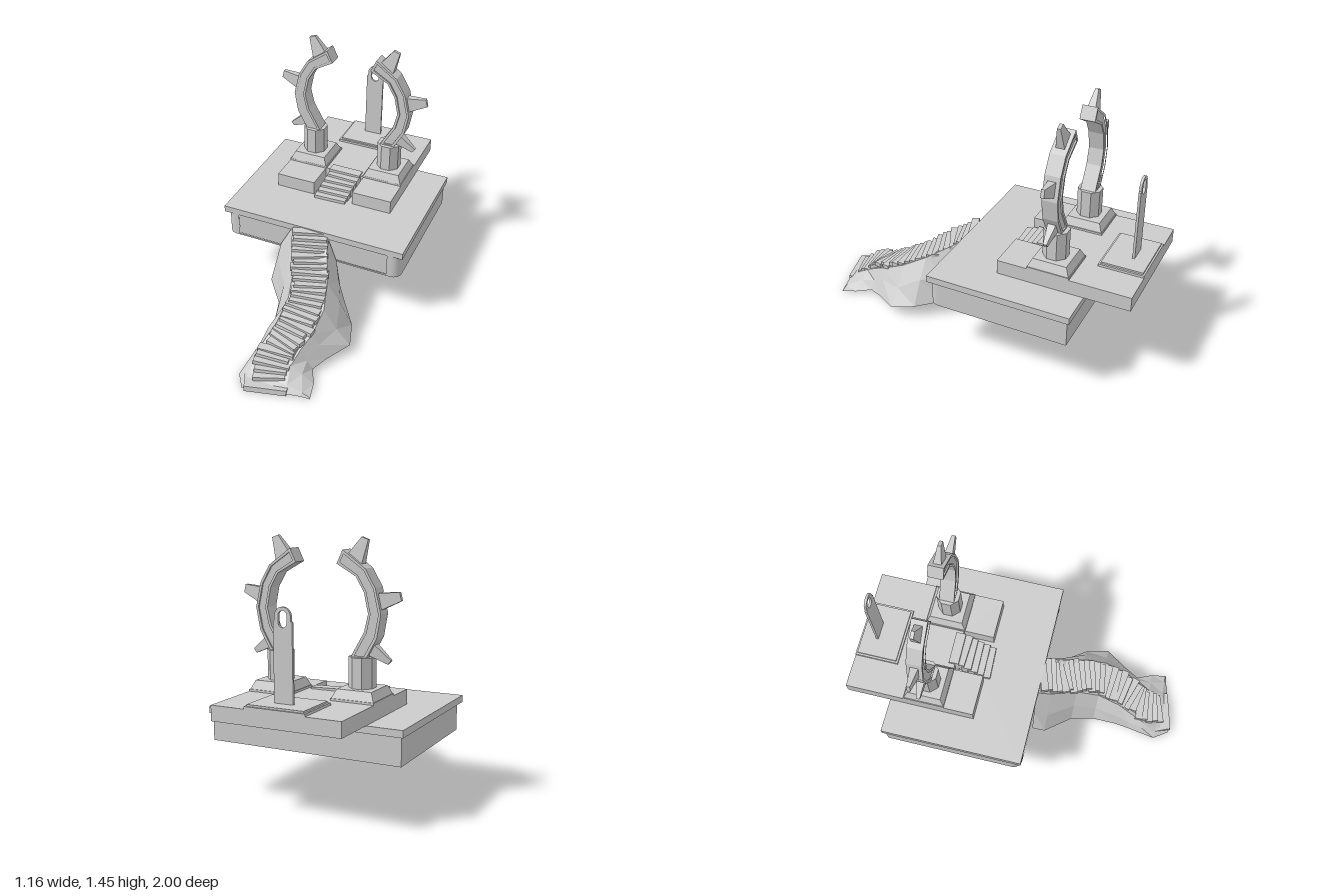
import * as THREE from 'three';
import { ConvexGeometry } from 'three/addons/geometries/ConvexGeometry.js';

const solid = new THREE.MeshStandardMaterial({ color: 0xcccccc, flatShading: true });
const shell = new THREE.MeshStandardMaterial({ color: 0xcccccc, flatShading: true, side: THREE.DoubleSide });
const V = (x, y, z) => new THREE.Vector3(x, y, z);

function add(parent, name, geometry, material = solid) {
  const mesh = new THREE.Mesh(geometry, material);
  mesh.name = name;
  parent.add(mesh);
  return mesh;
}

function box(parent, name, x0, x1, y0, y1, z0, z1) {
  const m = add(parent, name, new THREE.BoxGeometry(x1 - x0, y1 - y0, z1 - z0));
  m.position.set((x0 + x1) / 2, (y0 + y1) / 2, (z0 + z1) / 2);
  return m;
}

const shapeOf = (pts) => new THREE.Shape(pts.map(([x, y]) => new THREE.Vector2(x, y)));
const pathOf = (pts) => new THREE.Path(pts.map(([x, y]) => new THREE.Vector2(x, y)));
const rect = (x0, x1, y0, y1) => [[x0, y0], [x1, y0], [x1, y1], [x0, y1]];

// Surface through rows of points, with equal counts per row
function loft(rows) {
  const n = rows[0].length, index = [];
  for (let i = 0; i < rows.length - 1; i++) {
    for (let j = 0; j < n - 1; j++) {
      const a = i * n + j, b = a + n;
      index.push(a, b, a + 1, a + 1, b, b + 1);
    }
  }
  const g = new THREE.BufferGeometry();
  g.setAttribute('position', new THREE.Float32BufferAttribute(rows.flat(2), 3));
  g.setIndex(index);
  const flat = g.toNonIndexed();
  flat.computeVertexNormals();
  return flat;
}

// Upright wall along a plan outline of [x, z] points, counter-clockwise from above
const wall = (pts, y0, y1) => loft([pts.map(([x, z]) => [x, y1, z]), pts.map(([x, z]) => [x, y0, z])]);

// Flat horizontal cover for a plan outline
const cover = (pts, y) =>
  new THREE.ShapeGeometry(shapeOf(pts.map(([x, z]) => [x, -z]))).rotateX(-Math.PI / 2).translate(0, y, 0);

// Four-sided taper between two rectangles
function taper(parent, name, cx, cz, h0, h1, y0, y1) {
  const pts = [];
  for (const [h, y] of [[h0, y0], [h1, y1]])
    for (const sx of [-1, 1]) for (const sz of [-1, 1]) pts.push(V(cx + sx * h, y, cz + sz * h));
  return add(parent, name, new ConvexGeometry(pts));
}

let seed = 7;
const jitter = (a) => {
  seed = (seed * 16807) % 2147483647;
  return (seed / 2147483647 - 0.5) * 2 * a;
};

function buildBase(root) {
  const g = new THREE.Group();
  g.name = 'base';
  root.add(g);

  // Hollow skirt: square at the back, rounded at the front corners
  const side = [];
  for (let i = 0; i <= 8; i++) {
    const a = (i / 8) * Math.PI / 2;
    side.push([0.51 + 0.055 * Math.sin(a), 0.065 + 0.055 * Math.cos(a)]);
  }
  const outline = [...side, [0.565, -0.72], [-0.565, -0.72], ...side.map(([x, z]) => [-x, z]).reverse()];
  add(g, 'skirt', wall(outline, 0.32, 0.475), shell);

  // Front frame around a recessed panel
  const front = shapeOf(rect(-0.51, 0.51, 0.32, 0.475));
  front.holes.push(pathOf(rect(-0.485, 0.485, 0.332, 0.47)));
  add(g, 'frontFrame', new THREE.ShapeGeometry(front).translate(0, 0, 0.12), shell);
  box(g, 'frontPanel', -0.49, 0.49, 0.325, 0.475, 0.09, 0.11);

  // Deck with a projecting rim, hollow below
  const inner = rect(-0.55, 0.55, -0.705, 0.09);
  const rim = shapeOf(rect(-0.58, 0.58, -0.125, 0.735));
  rim.holes.push(pathOf(inner.map(([x, z]) => [x, -z])));
  const rimGeo = new THREE.ExtrudeGeometry(rim, { depth: 0.04, bevelEnabled: false });
  add(g, 'deckRim', rimGeo.rotateX(-Math.PI / 2).translate(0, 0.475, 0));
  add(g, 'deckTop', cover(inner, 0.515), shell);
}

function buildTier(root) {
  const g = new THREE.Group();
  g.name = 'upperTier';
  root.add(g);
  const plan = [[-0.377, -0.215], [-0.377, -1], [0.377, -1], [0.377, -0.215],
    [0.128, -0.215], [0.128, -0.4], [-0.128, -0.4], [-0.128, -0.215]];
  add(g, 'tierWall', wall([...plan, plan[0]].reverse(), 0.515, 0.6), shell);
  add(g, 'tierTop', cover(plan, 0.6), shell);

  // Worn steps in the notch
  for (let i = 0; i < 6; i++) {
    const x = jitter(0.012), z = -0.2 - i * 0.039, top = 0.535 + i * 0.0155;
    const s = box(g, 'tierStep', x - 0.1, x + 0.1, 0.515, top, z - 0.045, z + 0.015);
    s.rotation.set(0, jitter(0.06), jitter(0.025));
  }

  // Plate and slotted post at the back
  box(g, 'backPlate', -0.177, 0.177, 0.6, 0.614, -1, -0.735);
  box(g, 'backPlateTop', -0.165, 0.165, 0.614, 0.624, -0.99, -0.747);
  const post = shapeOf([[-0.055, 0.62], [0.055, 0.62], [0.055, 1.04], [0.047, 1.045]]);
  post.absarc(0, 1.068, 0.047, 0, Math.PI, false);
  post.lineTo(-0.047, 1.045);
  post.lineTo(-0.055, 1.04);
  const slot = new THREE.Path();
  slot.absarc(0, 1.071, 0.025, 0, Math.PI, false);
  slot.absarc(0, 1.036, 0.025, Math.PI, Math.PI * 2, false);
  post.holes.push(slot);
  const postGeo = new THREE.ExtrudeGeometry(post, { depth: 0.014, bevelEnabled: false, curveSegments: 12 });
  add(g, 'slottedPost', postGeo.translate(0, 0, -0.904));
}

// Pedestal, pillar and spiked arch half; s is the side of the model
function buildArch(root, s) {
  const g = new THREE.Group();
  g.name = s > 0 ? 'leftArch' : 'rightArch';
  root.add(g);
  const cx = 0.25 * s, cz = -0.515;
  box(g, 'pedestalFoot', cx - 0.127, cx + 0.127, 0.6, 0.612, -0.645, -0.395);
  taper(g, 'pedestal', cx, -0.518, 0.122, 0.1, 0.612, 0.66);
  const pillar = add(g, 'pillar', new THREE.CylinderGeometry(0.074, 0.074, 0.165, 8));
  pillar.rotation.y = Math.PI / 8;
  pillar.position.set(cx, 0.7425, cz);

  // Arch outline: outer edge upward, inner edge downward
  const outer = [[0.29, 0.82], [0.352, 0.93], [0.375, 1.055], [0.344, 1.19], [0.287, 1.287], [0.157, 1.38]];
  const inner = [[0.2, 0.82], [0.28, 0.96], [0.303, 1.055], [0.28, 1.165], [0.233, 1.245], [0.122, 1.307]];
  const band = (t, end) => {
    const a = [], b = [];
    outer.forEach((o, i) => {
      const n = inner[i], mix = (k) => [s * (o[0] + (n[0] - o[0]) * k), o[1] + (n[1] - o[1]) * k];
      a.push(mix(t));
      b.push(mix(1 - t));
    });
    // Pull the tip and foot in so the rim closes around the panel
    for (const e of [a, b]) {
      e[5] = [e[5][0] + s * end, e[5][1] - end * 0.55];
      e[0] = [e[0][0] + s * end * 0.5, e[0][1] + end];
    }
    return [...a, ...b.reverse()];
  };
  const rim = shapeOf(band(0, 0));
  rim.holes.push(pathOf(band(0.2, 0.013)));
  const slice = (shape, d) =>
    new THREE.ExtrudeGeometry(shape, { depth: d, bevelEnabled: false }).translate(0, 0, cz - d / 2);
  add(g, 'archRim', slice(rim, 0.09));
  add(g, 'archPanel', slice(shapeOf(band(0.1, 0.006)), 0.072));

  // Spikes: two base corners, two tip corners
  const spikes = [
    [[0.26, 1.322], [0.172, 1.366], [0.287, 1.432], [0.249, 1.446]],
    [[0.365, 1.075], [0.345, 1.168], [0.474, 1.127], [0.463, 1.172]],
    [[0.305, 0.832], [0.335, 0.897], [0.4, 0.793], [0.418, 0.815]],
  ];
  for (const p of spikes) {
    const pts = p.flatMap(([x, y], i) => {
      const d = i < 2 ? 0.026 : 0.01;
      return [V(s * x, y, cz - d), V(s * x, y, cz + d)];
    });
    // Sink the root into the arch
    const d = 0.02 / Math.hypot(p[2][0] - p[0][0], p[2][1] - p[0][1]);
    for (let i = 0; i < 4; i++) {
      pts[i].x -= s * (p[2][0] - p[0][0]) * d;
      pts[i].y -= (p[2][1] - p[0][1]) * d;
    }
    add(g, 'spike', new ConvexGeometry(pts));
  }
}

function buildRamp(root) {
  const g = new THREE.Group();
  g.name = 'rockRamp';
  root.add(g);

  // Rock stations: z, stair height, foot height, left x's (foot, mid, rim), right x's (rim, mid, foot)
  const stations = [
    [0.12, 0.49, 0.11, -0.24, -0.2, -0.12, 0.11, 0.17, 0.2],
    [0.2, 0.435, 0.1, -0.235, -0.18, -0.09, 0.14, 0.22, 0.26],
    [0.35, 0.345, 0.08, -0.11, -0.07, -0.01, 0.21, 0.29, 0.37],
    [0.49, 0.27, 0.06, -0.07, -0.03, 0.025, 0.25, 0.33, 0.415],
    [0.63, 0.2, 0.045, -0.065, -0.04, 0.015, 0.24, 0.28, 0.33],
    [0.72, 0.15, 0.03, -0.07, -0.05, -0.01, 0.21, 0.25, 0.285],
    [0.81, 0.1, 0.018, -0.08, -0.06, -0.03, 0.19, 0.26, 0.33],
    [0.9, 0.045, 0.005, -0.09, -0.065, -0.025, 0.21, 0.3, 0.35],
  ];
  const rows = stations.map(([z, t, f, a, b, c, d, e, h], i) => {
    const m = f + (t - f) * (i % 2 ? 0.48 : 0.6);
    return [[a, f, z], [b, m, z], [c, t, z], [d, t, z], [e, m - 0.04 * (t - f), z], [h, f, z]];
  });
  rows.push([[-0.03, 0, 0.985], [-0.02, 0.008, 0.985], [-0.01, 0.012, 0.98],
    [0.22, 0.012, 0.935], [0.3, 0.008, 0.915], [0.35, 0, 0.905]]);
  add(g, 'rock', loft(rows), shell);

  // Uneven steps following the winding path
  const path = new THREE.CatmullRomCurve3([V(0, 0.49, 0.13), V(0.025, 0.437, 0.2), V(0.1, 0.347, 0.35),
    V(0.137, 0.272, 0.49), V(0.128, 0.202, 0.63), V(0.1, 0.152, 0.72), V(0.08, 0.102, 0.81), V(0.09, 0.05, 0.89)]);
  const count = 26;
  for (let i = 0; i < count; i++) {
    const u = i / (count - 1), p = path.getPointAt(u), t = path.getTangentAt(u);
    const s = add(g, 'step', new THREE.BoxGeometry(0.2 + jitter(0.02), 0.028, 0.046));
    s.position.set(p.x + jitter(0.008), p.y + 0.004, p.z);
    const yaw = u > 0.8 ? 0.25 * (u - 0.8) / 0.2 : Math.atan2(t.x, t.z) * 0.8;
    s.rotation.set(jitter(0.08), yaw + jitter(0.08), jitter(0.05));
  }

  // Broad bottom step
  const foot = [];
  for (const [x, z] of [[-0.05, 0.91], [-0.01, 1], [0.22, 0.94], [0.22, 0.88]])
    foot.push(V(x, 0, z), V(x, 0.034, z - 0.005));
  add(g, 'bottomStep', new ConvexGeometry(foot));
}

export function createModel() {
  const root = new THREE.Group();
  root.name = 'ritualPlatform';
  buildBase(root);
  buildTier(root);
  for (const s of [-1, 1]) buildArch(root, s);
  buildRamp(root);
  return root;
}
